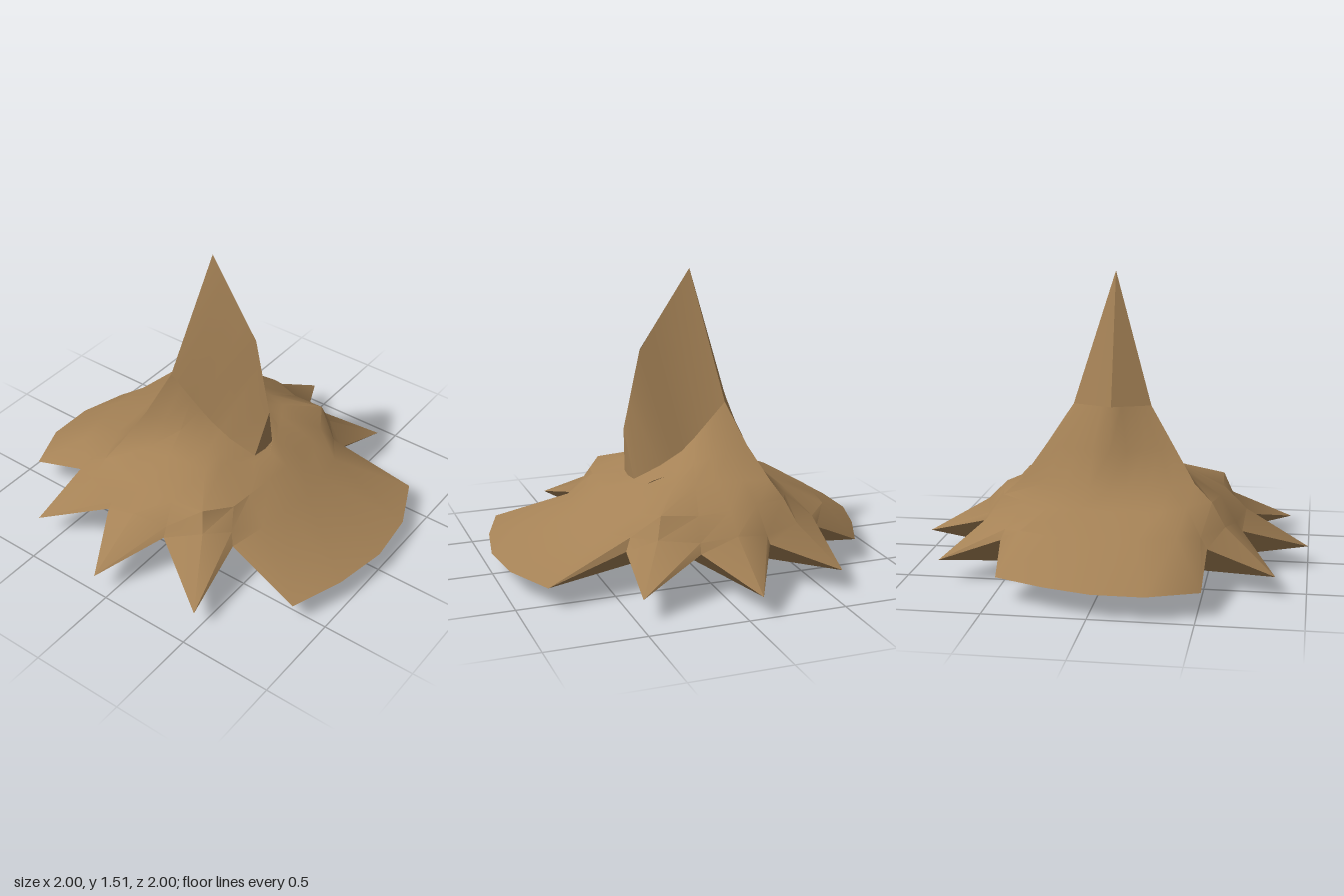
import * as THREE from 'three';
import { toCreasedNormals } from 'three/addons/utils/BufferGeometryUtils.js';

// Jagged rim, anticlockwise from the +x flap: [x, y, z]; each point starts a spoke
const RIM = [
  [1, 0.11, 0], [0.95, 0.11, 0.29], [0.85, 0.11, 0.57], [0.43, 0.22, 0.5],
  [0.49, 0.11, 0.9], [0.11, 0.22, 0.66], [-0.07, 0.11, 1], [-0.25, 0.23, 0.67],
  [-0.59, 0.11, 0.85], [-0.58, 0.23, 0.52], [-0.9, 0.12, 0.52], [-1, 0.12, 0.27],
  [-1, 0.12, 0.02], [-0.93, 0.12, -0.22], [-0.82, 0.12, -0.47], [-0.58, 0.23, -0.5],
  [-0.57, 0.11, -0.82], [-0.25, 0.23, -0.66], [-0.07, 0.11, -1], [0.11, 0.22, -0.65],
  [0.47, 0.11, -0.84], [0.44, 0.22, -0.49], [0.85, 0.11, -0.55], [0.97, 0.11, -0.28],
];

// Half sections, mirrored in z: [degrees round the centre, x, y, z]
const SHOULDER = [[0, 0.55, 0.27, 0], [32, 0.5, 0.27, 0.34], [45, 0.4, 0.28, 0.47], [58, 0.3, 0.29, 0.58],
  [75, 0.1, 0.27, 0.63], [90, -0.07, 0.3, 0.68], [105, -0.24, 0.27, 0.64], [121, -0.42, 0.3, 0.6],
  [134, -0.55, 0.28, 0.49], [148, -0.67, 0.31, 0.38], [180, -0.75, 0.29, 0]];
const HUMP = [[0, 0.41, 0.4, 0], [45, 0.36, 0.38, 0.4], [58, 0.27, 0.4, 0.54], [75, 0.08, 0.38, 0.55],
  [90, -0.07, 0.4, 0.58], [121, -0.38, 0.41, 0.53], [148, -0.5, 0.38, 0.28], [180, -0.52, 0.38, 0]];
const SLOPE = [[0, 0.33, 0.43, 0], [58, 0.14, 0.47, 0.35], [90, -0.07, 0.49, 0.38],
  [121, -0.34, 0.49, 0.44], [148, -0.4, 0.46, 0.2], [180, -0.41, 0.46, 0]];
const NECK = [[0, 0.3, 0.44, 0], [31, 0.2, 0.47, 0.2], [62, 0.06, 0.52, 0.24], [90, -0.08, 0.58, 0.27],
  [121, -0.26, 0.65, 0.33], [180, -0.34, 0.63, 0]];
const FIN_BASE = [[0, 0.27, 0.45, 0], [16, 0.26, 0.45, 0.08], [31, 0.13, 0.52, 0.115],
  [62, 0, 0.6, 0.13], [121, -0.19, 0.85, 0.2], [180, -0.27, 0.85, 0]];
const CREST = [[0, 0.29, 0.7, 0], [17, 0.29, 0.7, 0], [58, 0.2, 1.11, 0], [121, -0.07, 1.515, 0], [180, -0.07, 1.515, 0]];
const KEEL = [[0, 0.27, 0.02, 0], [32, 0.22, 0.02, 0.13], [45, 0.12, 0.04, 0.14], [58, 0.11, 0.02, 0.2],
  [75, 0.02, 0.04, 0.19], [90, -0.13, 0, 0.22], [105, -0.16, 0.04, 0.18], [121, -0.25, 0.03, 0.21],
  [134, -0.28, 0.04, 0.15], [148, -0.34, 0.03, 0.12], [180, -0.37, 0.03, 0]];

const ANGLES = RIM.map(([x, , z]) => THREE.MathUtils.radToDeg(Math.atan2(z, x + 0.07)));

// Samples a half section at every spoke
function ring(section) {
  return ANGLES.map((angle) => {
    const a = Math.abs(angle);
    let k = 0;
    while (k < section.length - 2 && a > section[k + 1][0]) k++;
    const p = section[k], q = section[k + 1];
    const t = Math.min(1, (a - p[0]) / (q[0] - p[0]));
    const v = [1, 2, 3].map((j) => p[j] + (q[j] - p[j]) * t);
    return [v[0], v[1], v[2] * Math.sign(angle)];
  });
}

// Skins successive rings, with soft shading except at sharp folds
function skin(rings, crease) {
  const positions = [];
  const triangle = (...corners) => {
    const [a, b, c] = corners.map((p) => new THREE.Vector3(...p));
    if (b.sub(a).cross(c.sub(a)).length() > 1e-6) positions.push(...corners.flat());
  };
  for (let r = 0; r < rings.length - 1; r++) {
    for (let i = 0; i < RIM.length; i++) {
      const j = (i + 1) % RIM.length;
      const a = rings[r], b = rings[r + 1];
      triangle(a[i], b[i], a[j]);
      triangle(a[j], b[i], b[j]);
    }
  }
  const geometry = new THREE.BufferGeometry();
  geometry.setAttribute('position', new THREE.Float32BufferAttribute(positions, 3));
  return toCreasedNormals(geometry, crease);
}

export function createModel() {
  const group = new THREE.Group();
  const tan = new THREE.MeshStandardMaterial({ color: 0xa58256, side: THREE.DoubleSide });
  tan.name = 'tan';
  const add = (name, rings, crease) => {
    const mesh = new THREE.Mesh(skin(rings, crease), tan);
    mesh.name = name;
    group.add(mesh);
  };

  // Sloping shell with star points and side flaps
  add('shell', [RIM, ...[SHOULDER, HUMP, SLOPE, NECK, FIN_BASE].map(ring)], 0.7);
  // Tall peak whose crest runs down the +x side as a fin
  add('peakFin', [ring(FIN_BASE), ring(CREST)], 0.5);
  // Folded underside running from a low keel out to the rim
  const centre = RIM.map(() => [-0.07, 0.03, 0]);
  add('underside', [centre, ring(KEEL), RIM], 0.3);
  return group;
}
